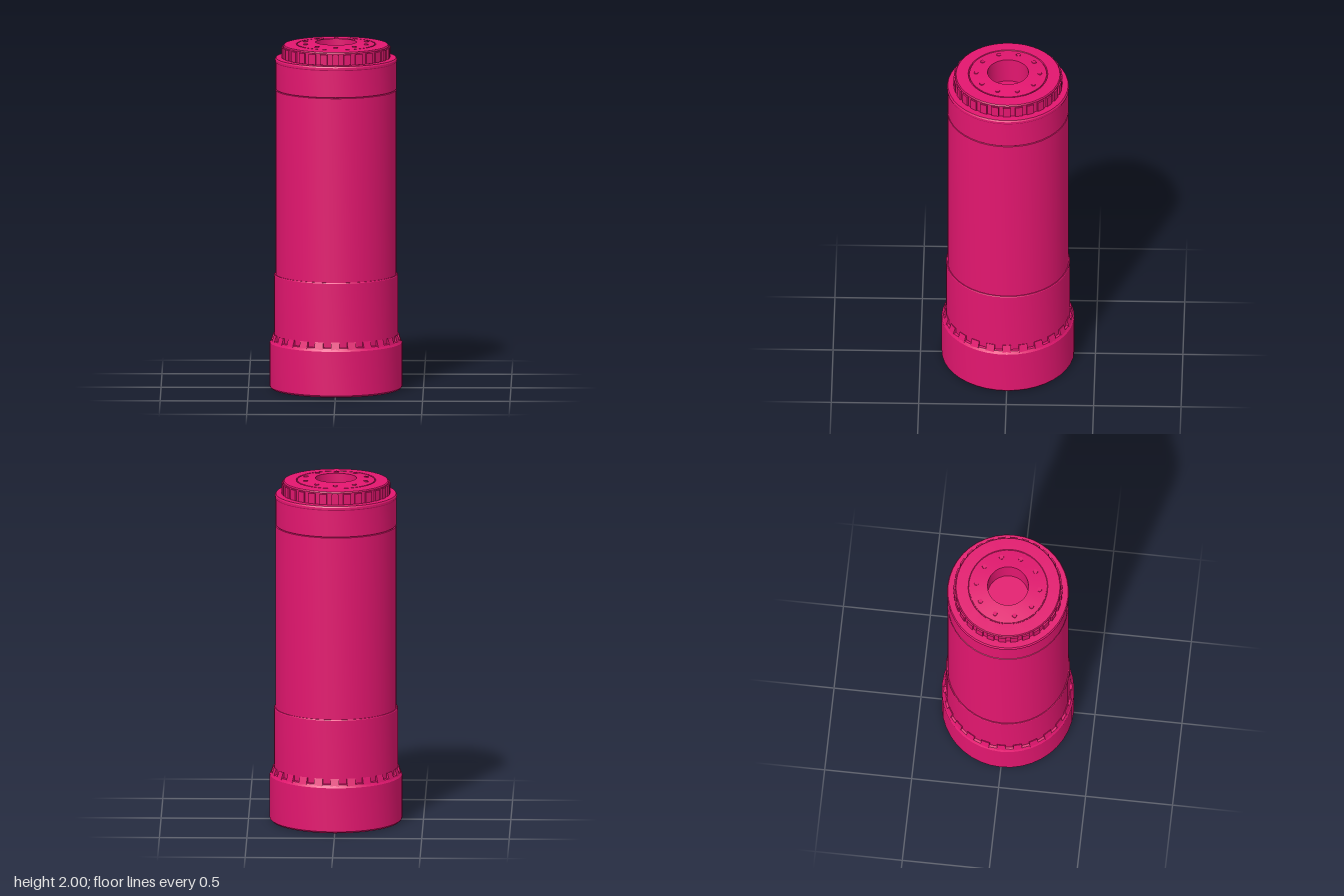
import * as THREE from 'three';
import { toCreasedNormals } from 'three/addons/utils/BufferGeometryUtils.js';

const material = new THREE.MeshStandardMaterial({ color: 0xe3166f });

export function createModel() {
  const model = new THREE.Group();
  const SIDES = 40;

  // Revolved part; profile runs up the outside and inwards over the top
  function turned(name, profile) {
    const points = profile.map(([r, y]) => new THREE.Vector2(r, y));
    const geometry = toCreasedNormals(new THREE.LatheGeometry(points, SIDES), 0.5);
    const mesh = new THREE.Mesh(geometry, material);
    mesh.name = name;
    model.add(mesh);
  }

  // Copies of one small part spaced evenly around the axis
  function ring(name, geometry, count, radius, y, tilt = 0) {
    const group = new THREE.Group();
    group.name = `${name}Ring`;
    for (let i = 0; i < count; i++) {
      const angle = (i / count) * Math.PI * 2;
      const mesh = new THREE.Mesh(geometry, material);
      mesh.name = `${name}${i + 1}`;
      mesh.position.set(Math.sin(angle) * radius, y, Math.cos(angle) * radius);
      mesh.rotation.set(tilt, angle, 0, 'YXZ');
      group.add(mesh);
    }
    model.add(group);
  }

  // Wide foot with bevelled edges
  turned('base', [[0, 0], [0.37, 0], [0.379, 0.01], [0.379, 0.265], [0.368, 0.282], [0.355, 0.285], [0.345, 0.285]]);
  // Lower sleeve, slightly wider than the barrel
  turned('lowerSleeve', [[0.355, 0.28], [0.355, 0.655], [0.352, 0.66], [0.34, 0.66]]);
  // Long barrel
  turned('barrel', [[0.347, 0.64], [0.347, 1.725], [0.34, 1.728]]);
  // Collar above a thin groove
  turned('upperCollar', [[0.338, 1.722], [0.343, 1.729], [0.346, 1.731], [0.346, 1.885], [0.349, 1.89], [0.349, 1.902], [0.344, 1.91], [0.29, 1.91]]);
  // Stepped cap
  turned('cap', [[0.302, 1.9], [0.302, 1.978], [0.297, 1.985], [0.228, 1.988], [0.225, 1.982], [0.218, 1.982]]);
  // Gently domed centre plate with a blind bore
  turned('centrePlate', [[0.221, 1.975], [0.221, 1.988], [0.15, 1.997], [0.117, 2], [0.117, 1.85], [0, 1.85]]);

  // Notched rims on the base and the cap
  ring('baseTooth', new THREE.BoxGeometry(0.05, 0.045, 0.024), 24, 0.354, 0.291, -0.3);
  ring('capTooth', new THREE.BoxGeometry(0.042, 0.06, 0.024), 28, 0.298, 1.942);
  // Bolt heads around the bore
  ring('bolt', new THREE.CylinderGeometry(0.013, 0.015, 0.01, 8), 10, 0.181, 1.992);

  return model;
}
